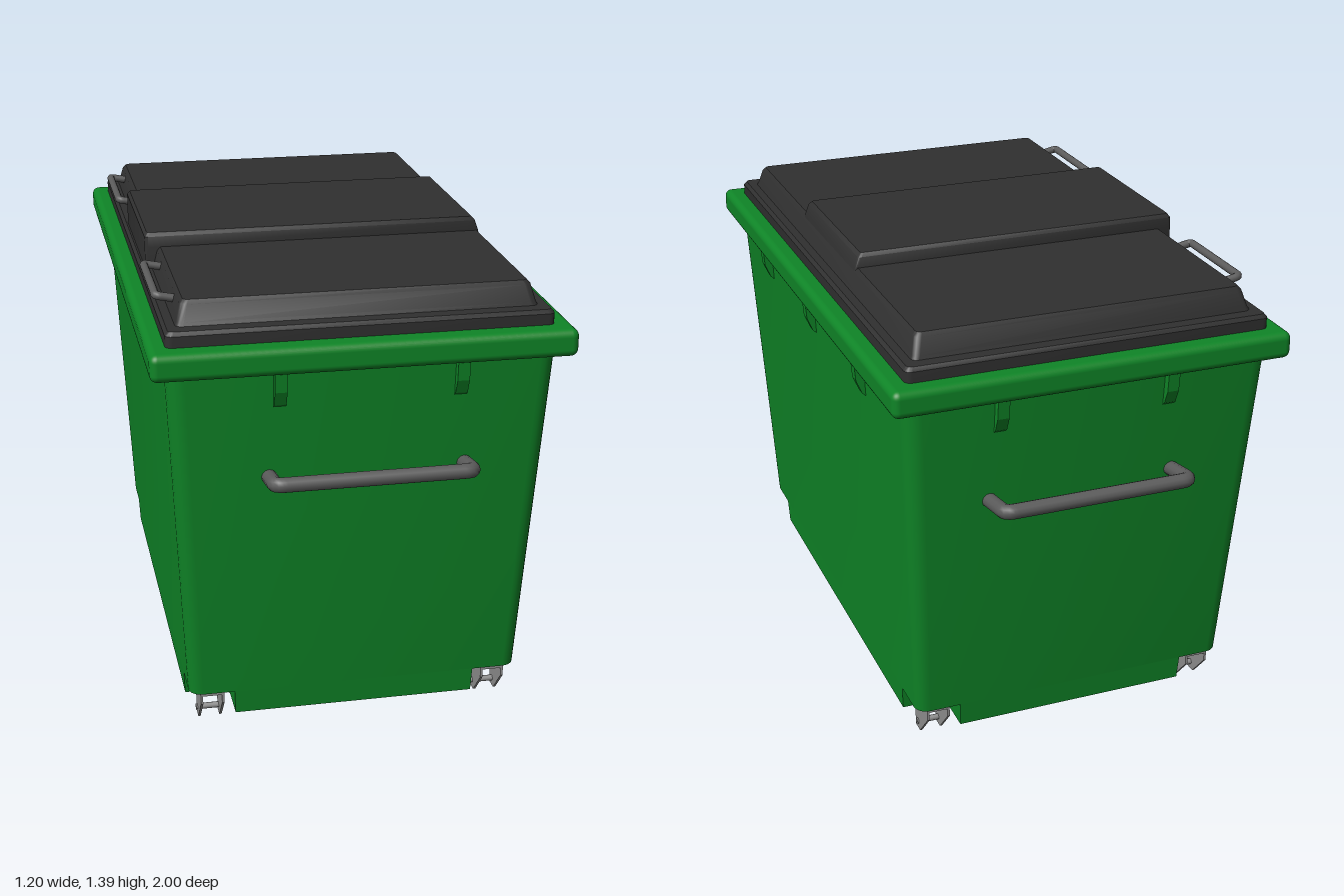
import * as THREE from 'three';
import { toCreasedNormals } from 'three/addons/utils/BufferGeometryUtils.js';
import { RoundedBoxGeometry } from 'three/addons/geometries/RoundedBoxGeometry.js';

const material = (name, color) => Object.assign(new THREE.MeshStandardMaterial({ color }), { name });

// Stacked rounded rectangles, each row: [y, xMin, xMax, zMin, zMax, cornerRadius]
function loft(rows, crease = 0.6) {
  const seg = 5, n = 4 * (seg + 1), pos = [], idx = [];
  for (const [y, x0, x1, z0, z1, r] of rows) {
    const corners = [[x1 - r, z1 - r], [x0 + r, z1 - r], [x0 + r, z0 + r], [x1 - r, z0 + r]];
    corners.forEach(([cx, cz], q) => {
      for (let s = 0; s <= seg; s++) {
        const a = (q + s / seg) * Math.PI / 2;
        pos.push(cx + r * Math.cos(a), y, cz + r * Math.sin(a));
      }
    });
  }
  const last = (rows.length - 1) * n;
  for (let i = 0; i < n; i++) {
    const j = (i + 1) % n;
    for (let k = 0; k < last; k += n) {
      idx.push(k + i, k + n + i, k + j, k + j, k + n + i, k + n + j);
    }
    if (i > 0 && i < n - 1) idx.push(0, i, j, last, last + j, last + i);
  }
  const g = new THREE.BufferGeometry();
  g.setAttribute('position', new THREE.Float32BufferAttribute(pos, 3));
  g.setIndex(idx);
  return toCreasedNormals(g, crease);
}

// U-shaped bar reaching out along +z and rising towards its grip
function uBar(width, depth, rise, radius) {
  const w = width / 2, c = radius * 1.2;
  const grip = new THREE.Vector3(w, rise, depth);
  const arm = new THREE.Vector3(w, 0, 0).sub(grip).setLength(c).add(grip);
  const flip = (v) => new THREE.Vector3(-v.x, v.y, v.z);
  const inner = new THREE.Vector3(w - c, rise, depth);
  const path = new THREE.CurvePath();
  path.add(new THREE.LineCurve3(new THREE.Vector3(-w, 0, 0), flip(arm)));
  path.add(new THREE.QuadraticBezierCurve3(flip(arm), flip(grip), flip(inner)));
  path.add(new THREE.LineCurve3(flip(inner), inner));
  path.add(new THREE.QuadraticBezierCurve3(inner, grip, arm));
  path.add(new THREE.LineCurve3(arm, new THREE.Vector3(w, 0, 0)));
  return new THREE.TubeGeometry(path, 90, radius, 12);
}

// Profile of [z, y] points, given thickness across x and centred on it
function slab(points, thickness) {
  const shape = new THREE.Shape(points.map(([z, y]) => new THREE.Vector2(z, y)));
  const g = new THREE.ExtrudeGeometry(shape, { depth: thickness, bevelEnabled: false });
  return g.translate(0, 0, -thickness / 2).rotateY(-Math.PI / 2);
}

export function createModel() {
  const green = material('green plastic', 0x0f8527);
  const black = material('black plastic', 0x303030);
  const grey = material('dark grey handle', 0x5c5c5c);
  const steel = material('light grey metal', 0x8f8f8f);
  const model = new THREE.Group();
  const Z = 0.008; // centre of the bin along z
  const add = (name, geometry, mat, x = 0, y = 0, z = 0, turn = 0, parent = model) => {
    const mesh = new THREE.Mesh(geometry, mat);
    mesh.name = name;
    mesh.position.set(x, y, z);
    mesh.rotation.y = turn;
    parent.add(mesh);
    return mesh;
  };

  // Tapered tub
  const halfX = (y) => 0.495 + 0.052 * (y - 0.045);
  const halfZ = (y) => 0.79 + 0.09 * (y - 0.045);
  const row = (y, r) => [y, -halfX(y), halfX(y), Z - halfZ(y), Z + halfZ(y), r];
  add('tub', loft([row(0.12, 0.04), row(0.5, 0.045), row(1.18, 0.05)]), green);

  // Tub base with notched corners for the feet
  const bx = halfX(0.12), bz = halfZ(0.12), nx = 0.365, nz = 0.65;
  const plan = [[bx, nz], [nx + 0.03, nz], [nx, nz + 0.03], [nx, bz]];
  const reversed = [...plan].reverse();
  const outline = [
    ...plan, ...reversed.map(([x, z]) => [-x, z]),
    ...plan.map(([x, z]) => [-x, -z]), ...reversed.map(([x, z]) => [x, -z]),
  ];
  const base = new THREE.ExtrudeGeometry(
    new THREE.Shape(outline.map(([x, z]) => new THREE.Vector2(x, z))),
    { depth: 0.077, bevelEnabled: false });
  base.rotateX(-Math.PI / 2);
  const p = base.attributes.position;
  for (let i = 0; i < p.count; i++) {
    if (p.getY(i) < 0.01) p.setXYZ(i, p.getX(i) * 0.992, p.getY(i), p.getZ(i) * 0.991);
  }
  base.computeVertexNormals();
  add('tubBase', base, green, 0, 0.045, Z);

  // Rim
  add('rim', new RoundedBoxGeometry(1.2, 0.08, 1.87, 4, 0.022), green, 0, 1.196, Z);

  // Ribs under the rim
  const rib = slab([[-0.04, 1.17], [-0.04, 1.04], [0.002, 1.05], [0.012, 1.058],
    [0.03, 1.1], [0.036, 1.17]], 0.035);
  for (const side of [1, -1]) {
    for (const x of [-0.24, 0.275]) {
      add('endRib', rib, green, x, 0, Z + side * 0.878, side > 0 ? 0 : Math.PI);
    }
    for (const z of [-0.505, 0, 0.505]) {
      add('sideRib', rib, green, side * 0.546, 0, 0.01 + z, side * Math.PI / 2);
    }
  }

  // Lid: flange, main panel and raised middle panel
  add('lidFlange', loft([
    [1.225, -0.55, 0.546, -0.873, 0.882, 0.02],
    [1.268, -0.55, 0.546, -0.873, 0.882, 0.02],
    [1.279, -0.541, 0.537, -0.864, 0.873, 0.015]]), black);
  add('lidPanel', loft([
    [1.27, -0.52, 0.515, -0.832, 0.838, 0.02],
    [1.288, -0.512, 0.507, -0.822, 0.828, 0.02],
    [1.334, -0.5, 0.495, -0.803, 0.81, 0.02],
    [1.345, -0.49, 0.485, -0.792, 0.799, 0.015]]), black);
  add('lidMiddlePanel', loft([
    [1.27, -0.536, 0.505, -0.265, 0.275, 0.01],
    [1.345, -0.536, 0.493, -0.265, 0.275, 0.01],
    [1.376, -0.536, 0.482, -0.262, 0.272, 0.01],
    [1.387, -0.528, 0.472, -0.253, 0.263, 0.01]]), black);

  // Lid handles on the right side
  for (const z of [-0.525, 0.535]) {
    add('lidHandle', uBar(0.31, 0.063, 0.013, 0.012), grey, -0.49, 1.314, z, -Math.PI / 2);
  }

  // Carrying handles at both ends
  for (const side of [1, -1]) {
    add('endHandle', uBar(0.565, 0.13, 0.023, 0.022), grey, 0.015, 0.83, side * 0.848,
      side > 0 ? 0 : Math.PI);
  }

  // Metal feet: two cheek plates, a top plate and an axle
  const cheek = slab([[0.675, 0.115], [0.675, 0], [0.715, 0], [0.785, 0.08], [0.785, 0.115]], 0.007);
  const topPlate = new THREE.BoxGeometry(0.07, 0.012, 0.11);
  const axle = new THREE.CylinderGeometry(0.009, 0.009, 0.08, 12).rotateZ(Math.PI / 2);
  for (const x of [-0.43, 0.43]) {
    for (const side of [1, -1]) {
      const foot = new THREE.Group();
      foot.name = 'foot';
      foot.position.set(x, 0, Z);
      foot.rotation.y = side > 0 ? 0 : Math.PI;
      for (const dx of [-0.032, 0.032]) add('footCheek', cheek, steel, dx, 0, 0, 0, foot);
      add('footTopPlate', topPlate, steel, 0, 0.112, 0.73, 0, foot);
      add('footAxle', axle, steel, 0, 0.024, 0.698, 0, foot);
      model.add(foot);
    }
  }
  return model;
}
